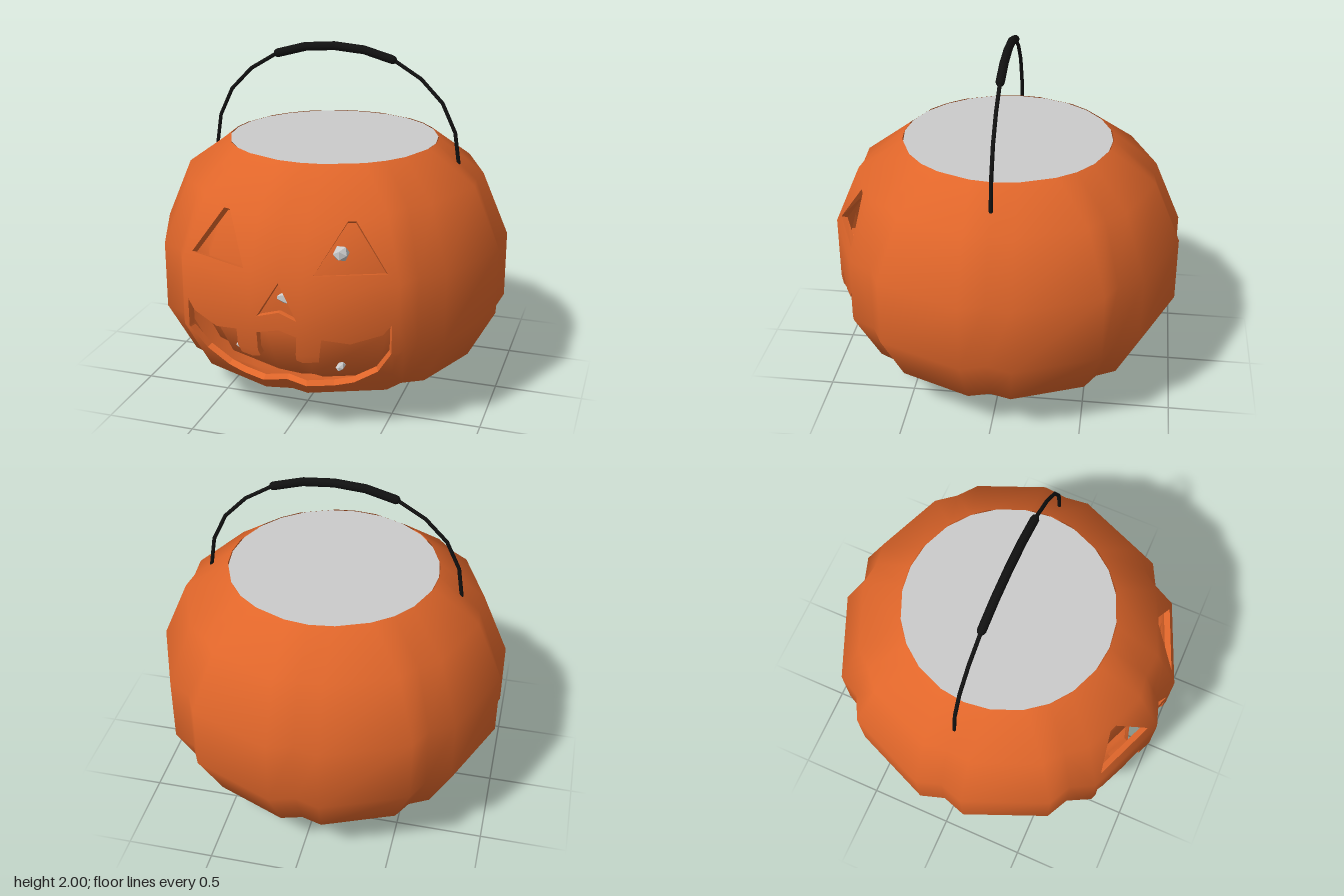
import * as THREE from 'three';

const ORANGE = new THREE.MeshStandardMaterial({ color: 0xe0662a, side: THREE.DoubleSide });
const BLACK = new THREE.MeshStandardMaterial({ color: 0x111111 });
const GREY = new THREE.MeshStandardMaterial({ color: 0xcccccc, flatShading: true });

// Rings from the base up: height, radius, groove ratio, angle from groove to lobe
const RINGS = [
  [0.012, 0.035, 1, 12], [0.005, 0.14, 0.98, 11], [0.07, 0.505, 0.95, 9], [0.25, 0.855, 0.95, 8],
  [0.54, 1.01, 0.946, 8], [0.92, 1.01, 0.946, 8], [1.27, 0.86, 0.97, 9], [1.46, 0.6, 1, 12],
];
const COLS = 24;          // eight lobes, three columns each
const PANEL = { u: 3, v0: 3, v1: 6 };  // carved front panel, in grid steps
const WALL = 0.035;

// Lobed shell as an indexed grid with smooth normals
function shellGeometry() {
  const pos = [], index = [];
  for (const [y, r, groove, offset] of RINGS) {
    for (let c = 0; c < COLS; c++) {
      const k = c % 3;
      const deg = Math.floor(c / 3) * 45 + [0, offset, 45 - offset][k];
      const a = THREE.MathUtils.degToRad(deg), rad = k === 0 ? r * groove : r;
      pos.push(rad * Math.sin(a), y, rad * Math.cos(a));
    }
  }
  const cells = [];
  for (let v = 0; v < RINGS.length - 1; v++) {
    for (let c = 0; c < COLS; c++) {
      const n = (c + 1) % COLS, i = v * COLS;
      const quad = [i + c, i + n, i + COLS + n, i + c, i + COLS + n, i + COLS + c];
      index.push(...quad);
      const front = (c < PANEL.u || c >= COLS - PANEL.u) && v >= PANEL.v0 && v < PANEL.v1;
      if (!front) cells.push(...quad);
    }
  }
  const g = new THREE.BufferGeometry();
  g.setAttribute('position', new THREE.Float32BufferAttribute(pos, 3));
  g.setIndex(index);
  g.computeVertexNormals();
  return { full: g, cells };
}

// Bilinear lookup of a grid attribute at fractional column u and ring v
function sample(attr, u, v) {
  const v0 = Math.min(Math.floor(v), RINGS.length - 2), u0 = Math.floor(u);
  const at = (c, r) => new THREE.Vector3().fromBufferAttribute(attr, r * COLS + (c + COLS) % COLS);
  const low = at(u0, v0).lerp(at(u0 + 1, v0), u - u0);
  const high = at(u0, v0 + 1).lerp(at(u0 + 1, v0 + 1), u - u0);
  return low.lerp(high, v - v0);
}

// Convert a point seen from the front to grid coordinates
function toGrid(attr, [x, y]) {
  let r = 1;
  while (y > RINGS[r + 1][0]) r++;
  const v = r + (y - RINGS[r][0]) / (RINGS[r + 1][0] - RINGS[r][0]);
  let lo = -PANEL.u, hi = PANEL.u - 1e-6;
  for (let i = 0; i < 40; i++) {
    const mid = (lo + hi) / 2;
    if (sample(attr, mid, v).x < x) lo = mid; else hi = mid;
  }
  return new THREE.Vector2((lo + hi) / 2, v);
}

// Cut triangles along the line axis = value
function cutTriangles(tris, axis, value) {
  const out = [];
  for (const t of tris) {
    for (const s of [1, -1]) {
      const poly = [];
      t.forEach((p, i) => {
        const q = t[(i + 1) % 3], a = s * (p[axis] - value), b = s * (q[axis] - value);
        if (a >= 0) poly.push(p);
        if (a * b < -1e-14) poly.push(p.clone().lerp(q, a / (a - b)));
      });
      if (s === -1 && t.every((p) => p[axis] === value)) continue;
      for (let i = 2; i < poly.length; i++) out.push([poly[0], poly[i - 1], poly[i]]);
    }
  }
  return out;
}

// Thick front panel with the face cut out, wrapped onto the shell
function panelGeometry(shell, holes) {
  const P = shell.attributes.position, N = shell.attributes.normal;
  const { u, v0, v1 } = PANEL;
  const shape = new THREE.Shape([[-u, v0], [u, v0], [u, v1], [-u, v1]].map((p) => new THREE.Vector2(...p)));
  shape.holes = holes.map((h) => new THREE.Path(h.map((p) => toGrid(P, p))));
  const flat = new THREE.ExtrudeGeometry(shape, { depth: WALL, bevelEnabled: false }).attributes.position;
  let tris = [];
  for (let i = 0; i < flat.count; i += 3) {
    tris.push([0, 1, 2].map((k) => new THREE.Vector3().fromBufferAttribute(flat, i + k)));
  }
  for (let c = 1 - u; c < u; c++) tris = cutTriangles(tris, 'x', c);
  for (let r = v0 + 1; r < v1; r++) tris = cutTriangles(tris, 'y', r);

  const pos = [], nor = [];
  for (const t of tris) {
    const mid = (t[0].x + t[1].x + t[2].x) / 3;
    const cell = Math.floor(mid);
    const pts = t.map((p) => {
      const pu = THREE.MathUtils.clamp(p.x, cell, cell + 1 - 1e-7);
      const n = sample(N, pu, p.y).normalize();
      return { n, p: sample(P, pu, p.y).addScaledVector(n, p.z - WALL) };
    });
    const face = new THREE.Triangle(...pts.map((q) => q.p)).getNormal(new THREE.Vector3());
    const cap = Math.abs(t[0].z - t[1].z) + Math.abs(t[0].z - t[2].z) < 1e-6;
    for (const q of pts) {
      const n = !cap ? face : q.n.multiplyScalar(t[0].z > WALL / 2 ? 1 : -1);
      pos.push(...q.p.toArray());
      nor.push(...n.toArray());
    }
  }
  const g = new THREE.BufferGeometry();
  g.setAttribute('position', new THREE.Float32BufferAttribute(pos, 3));
  g.setAttribute('normal', new THREE.Float32BufferAttribute(nor, 3));
  return g;
}

const mirror = (pts) => pts.map(([x, y]) => [-x, y]).reverse();

export function createModel() {
  const group = new THREE.Group();
  const add = (name, geometry, material) => {
    const mesh = new THREE.Mesh(geometry, material);
    mesh.name = name;
    group.add(mesh);
    return mesh;
  };

  // Face openings
  const eye = [[0.19, 0.975], [0.545, 0.975], [0.365, 1.23], [0.325, 1.23]];
  const nose = [[-0.11, 0.73], [0, 0.75], [0.11, 0.73], [0, 0.915]];
  const mouthHalf = [
    [0.26, 0.302], [0.36, 0.32], [0.49, 0.4], [0.57, 0.53], [0.575, 0.7], [0.53, 0.645], [0.375, 0.6],
    [0.235, 0.63], [0.215, 0.49], [0.1, 0.497], [0.11, 0.64],
  ];
  const mouth = [[0, 0.312], ...mouthHalf, [0, 0.65], ...mirror(mouthHalf)];

  // Bucket body, carved front and inner wall
  const { full, cells } = shellGeometry();
  const body = full.clone();
  body.setIndex(cells);
  add('body', body, ORANGE);
  add('carvedFace', panelGeometry(full, [eye, mirror(eye), nose, mouth]), ORANGE);
  const inner = add('innerWall', full, ORANGE);
  inner.scale.set(0.83, 0.93, 0.83);
  inner.position.y = 0.06;

  // Contents: level top, base spot and lumps showing through the face
  const top = add('contentsTop', new THREE.CircleGeometry(0.597, 24), GREY);
  top.rotation.x = -Math.PI / 2;
  top.position.y = 1.458;
  const base = add('baseSpot', new THREE.CircleGeometry(0.04, 8), GREY);
  base.rotation.x = Math.PI / 2;
  base.position.y = 0.011;
  const lumps = [
    [0.28, 1.04, 0.76, 0.045, 0.045], [0, 0.77, 0.78, 0.11, 0.045], [-0.28, 0.43, 0.73, 0.055, 0.045],
    [0.26, 0.36, 0.7, 0.025, 0.02], [0.56, 0.68, 0.62, 0.02, 0.025], [-0.56, 0.68, 0.62, 0.02, 0.025],
  ];
  for (const [x, y, z, w, h] of lumps) {
    const lump = add('contentsLump', new THREE.IcosahedronGeometry(1, 0), GREY);
    lump.position.set(x, y, z);
    lump.scale.set(w, h, 0.05);
  }

  // Wire handle with a thicker grip
  const side = [[0.73, 1.35], [0.7, 1.54], [0.62, 1.7], [0.5, 1.82], [0.34, 1.915], [0.18, 1.96]];
  const arc = [...mirror(side).reverse(), [0, 1.975], ...side.slice().reverse()]
    .map(([x, y]) => new THREE.Vector3(x, y, 0));
  const tube = (pts, r) =>
    new THREE.TubeGeometry(new THREE.CatmullRomCurve3(pts), pts.length - 1, r, 8);
  add('handleWire', tube(arc, 0.011), BLACK);
  const gripPath = arc.slice(4, 9);
  add('handleGrip', tube(gripPath, 0.025), BLACK);
  for (const end of [gripPath[0], gripPath[4]]) {
    add('gripEnd', new THREE.SphereGeometry(0.024, 8, 6), BLACK).position.copy(end);
  }
  return group;
}
